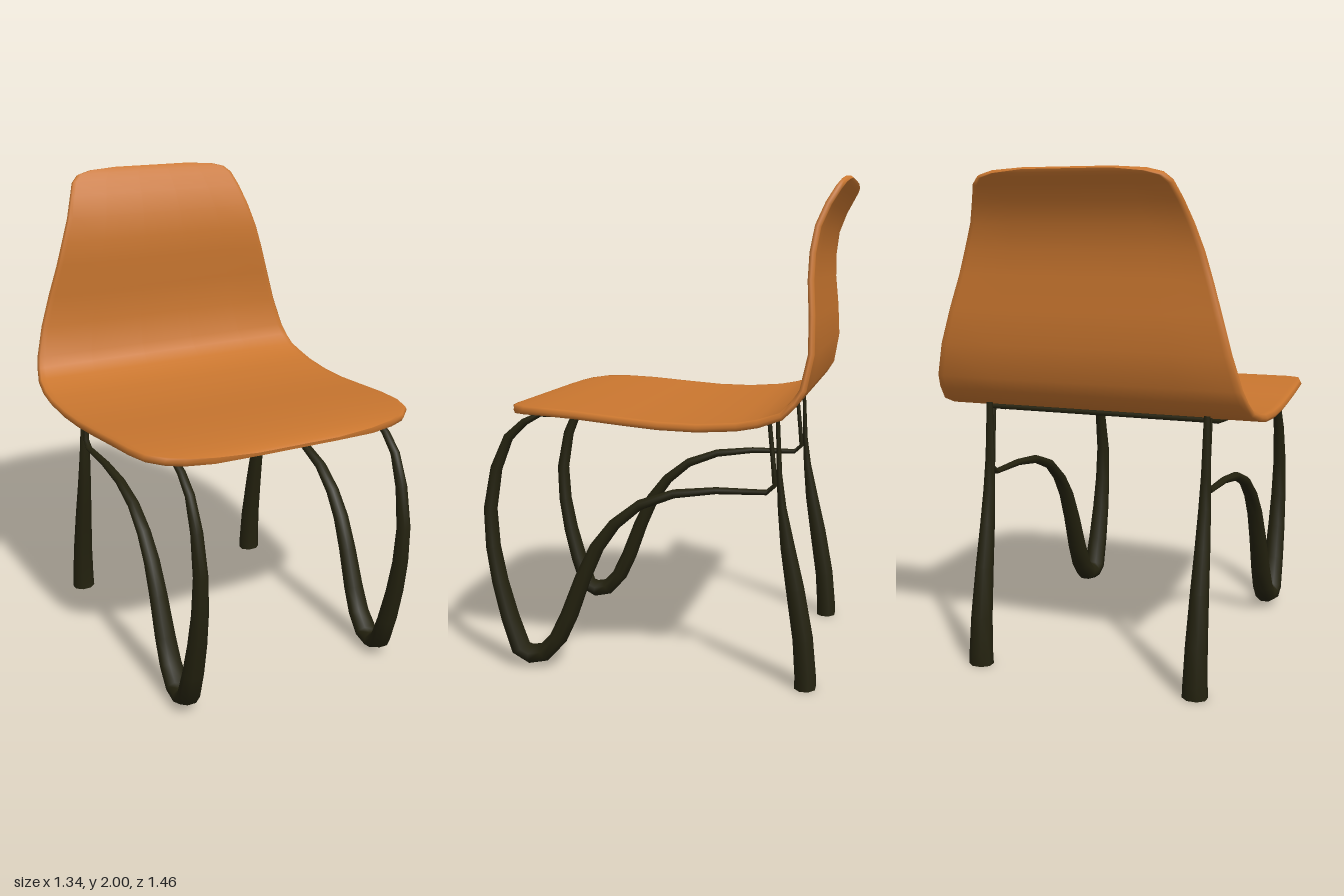
import * as THREE from 'three';

const orange = new THREE.MeshStandardMaterial({ color: 0xc9762f });
orange.name = 'orangeShell';
const dark = new THREE.MeshStandardMaterial({ color: 0x24220f });
dark.name = 'darkFrame';

// Sweeps a closed section [u, v] along rows [z, y, halfWidth, halfThickness] in a plane of constant x.
function sweep(rows, section) {
  const n = section.length, last = rows.length - 1;
  const pos = [], idx = [];
  rows.forEach(([z, y, w, t], i) => {
    const a = rows[Math.max(i - 1, 0)], b = rows[Math.min(i + 1, last)];
    const dz = b[0] - a[0], dy = b[1] - a[1], len = Math.hypot(dz, dy);
    for (const [u, v] of section) pos.push(u * w, y + v * t * dz / len, z - v * t * dy / len);
  });
  for (let i = 0; i < last; i++) {
    for (let j = 0; j < n; j++) {
      const k = (j + 1) % n;
      const a = i * n + j, b = i * n + k, c = a + n, d = b + n;
      idx.push(a, b, c, b, d, c);
    }
  }
  // End caps get their own corners so that their edges stay sharp
  for (const end of [0, last]) {
    const base = pos.length / 3;
    pos.push(...pos.slice(end * n * 3, (end + 1) * n * 3));
    for (let j = 1; j < n - 1; j++) {
      if (end) idx.push(base, base + j, base + j + 1);
      else idx.push(base, base + j + 1, base + j);
    }
  }
  const g = new THREE.BufferGeometry();
  g.setAttribute('position', new THREE.Float32BufferAttribute(pos, 3));
  g.setIndex(idx);
  g.computeVertexNormals();
  return g;
}

// Octagonal tube section, and a wide flat section with rounded rims
const round = Array.from({ length: 8 }, (_, i) => {
  const a = (i + 0.5) * Math.PI / 4;
  return [Math.cos(a) * 1.06, Math.sin(a) * 1.06];
});
const across = [-0.985, -0.95, -0.6, -0.2, 0.2, 0.6, 0.95, 0.985];
const flat = [
  [-1, 0], ...across.map(u => [u, -1]),
  [1, 0], ...across.map(u => [-u, 1]),
];

// Seat and backrest, front lip to top edge
const shellRows = [
  [0.627, 1.074, 0.18, 0.007], [0.615, 1.076, 0.36, 0.013], [0.592, 1.08, 0.47, 0.015],
  [0.565, 1.085, 0.54, 0.015], [0.505, 1.09, 0.60, 0.015], [0.41, 1.09, 0.628, 0.015],
  [0.28, 1.083, 0.64, 0.015], [0.1, 1.067, 0.65, 0.015], [-0.05, 1.055, 0.657, 0.015],
  [-0.2, 1.052, 0.663, 0.015], [-0.35, 1.062, 0.668, 0.015], [-0.43, 1.077, 0.668, 0.015],
  [-0.515, 1.105, 0.66, 0.014], [-0.56, 1.15, 0.648, 0.013], [-0.592, 1.2, 0.635, 0.013],
  [-0.617, 1.33, 0.60, 0.012], [-0.613, 1.47, 0.56, 0.012], [-0.603, 1.6, 0.52, 0.012],
  [-0.605, 1.7, 0.49, 0.012], [-0.62, 1.8, 0.455, 0.012], [-0.655, 1.885, 0.425, 0.012],
  [-0.69, 1.945, 0.40, 0.012], [-0.708, 1.972, 0.37, 0.011], [-0.719, 1.987, 0.31, 0.01],
  [-0.726, 1.997, 0.18, 0.006],
];

// Thin rod under the seat, running into the front leg loop and back to the rear leg
const loopRows = [
  [-0.45, 1.06, 0.011, 0.01], [-0.35, 1.038, 0.011, 0.01], [-0.2, 1.028, 0.011, 0.01],
  [-0.05, 1.032, 0.011, 0.01], [0.1, 1.043, 0.011, 0.01], [0.3, 1.058, 0.012, 0.01],
  [0.48, 1.06, 0.014, 0.011], [0.55, 1.025, 0.016, 0.015], [0.62, 0.96, 0.018, 0.019],
  [0.675, 0.83, 0.023, 0.023], [0.705, 0.66, 0.028, 0.026], [0.697, 0.5, 0.033, 0.028],
  [0.67, 0.35, 0.038, 0.031], [0.63, 0.2, 0.043, 0.034], [0.585, 0.07, 0.047, 0.037],
  [0.54, 0.048, 0.048, 0.036], [0.48, 0.06, 0.047, 0.036], [0.42, 0.125, 0.044, 0.035],
  [0.37, 0.23, 0.041, 0.034], [0.31, 0.39, 0.036, 0.031], [0.25, 0.52, 0.032, 0.028],
  [0.175, 0.62, 0.028, 0.024], [0.07, 0.705, 0.024, 0.02], [-0.07, 0.757, 0.02, 0.017],
  [-0.24, 0.778, 0.017, 0.013], [-0.44, 0.78, 0.014, 0.01], [-0.473, 0.81, 0.012, 0.01],
  [-0.465, 0.9, 0.011, 0.009], [-0.449, 1.06, 0.011, 0.008],
];

// Rear leg, foot to top
const rearRows = [
  [-0.602, 0, 0.049, 0.042], [-0.602, 0.05, 0.047, 0.041], [-0.59, 0.2, 0.042, 0.039],
  [-0.557, 0.4, 0.035, 0.035], [-0.525, 0.57, 0.029, 0.027], [-0.502, 0.72, 0.024, 0.016],
  [-0.49, 0.85, 0.019, 0.01], [-0.481, 1.08, 0.013, 0.007],
];

export function createModel() {
  const chair = new THREE.Group();
  chair.name = 'chair';
  const add = (geometry, material, name, x = 0) => {
    const mesh = new THREE.Mesh(geometry, material);
    mesh.name = name;
    mesh.position.x = x;
    chair.add(mesh);
    return mesh;
  };

  add(sweep(shellRows, flat), orange, 'seatShell');

  // Mirrored legs
  const loop = sweep(loopRows, round), rear = sweep(rearRows, round);
  for (const [side, s] of [['left', 1], ['right', -1]]) {
    add(loop, dark, side + 'FrontLegLoop', s * 0.465);
    add(rear, dark, side + 'RearLeg', s * 0.465);
  }

  // Rod joining the rear legs under the seat
  const bar = add(new THREE.CylinderGeometry(0.01, 0.01, 0.94, 8), dark, 'rearCrossbar');
  bar.rotation.z = Math.PI / 2;
  bar.position.set(0, 1.06, -0.458);
  return chair;
}
